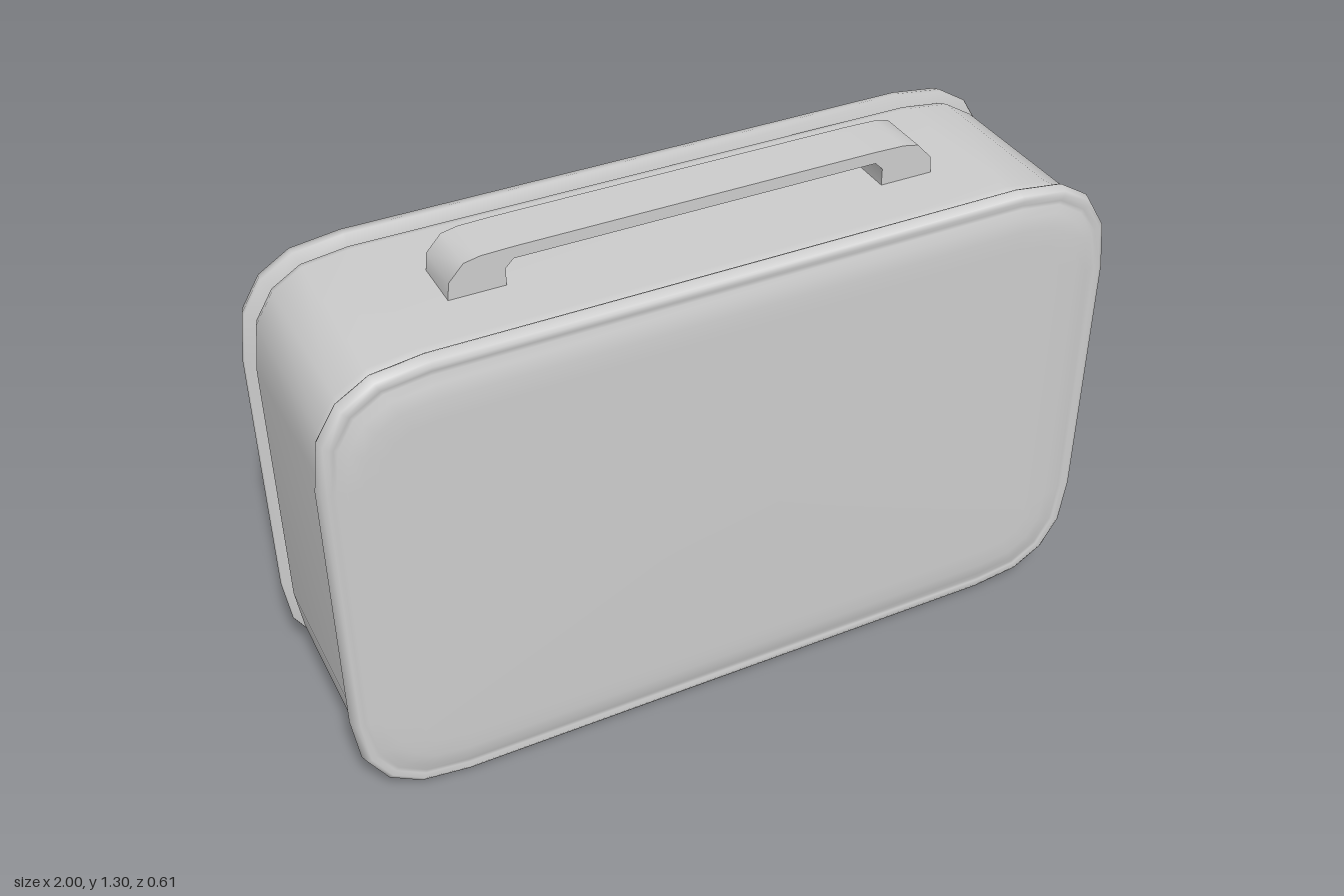
import * as THREE from 'three';
import { toCreasedNormals } from 'three/addons/utils/BufferGeometryUtils.js';

const HALF_W = 1, HALF_H = 0.6125, RADIUS = 0.27, STEPS = 4;
const material = new THREE.MeshStandardMaterial({ color: 0xcccccc });

// Soft-cornered rectangle, counter-clockwise, shrunk by inset
function outline(inset) {
  const r = RADIUS - inset;
  const points = [];
  for (let corner = 0; corner < 4; corner++) {
    const sx = corner === 0 || corner === 3 ? 1 : -1;
    const sy = corner < 2 ? 1 : -1;
    for (let i = 0; i <= STEPS; i++) {
      const a = ((corner + i / STEPS) * Math.PI) / 2;
      const bulge = (v) => Math.pow(Math.abs(v), 0.8) * r;
      points.push([
        sx * (HALF_W - RADIUS + bulge(Math.cos(a))),
        HALF_H + sy * (HALF_H - RADIUS + bulge(Math.sin(a))),
      ]);
    }
  }
  return points;
}

// Skin a list of [z, inset] sections, optionally closed at the +z end
function loft(sections, capped) {
  const positions = [], index = [];
  const n = 4 * (STEPS + 1);
  for (const [z, inset] of sections) {
    for (const [x, y] of outline(inset)) positions.push(x, y, z);
  }
  for (let k = 0; k < sections.length - 1; k++) {
    for (let j = 0; j < n; j++) {
      const a = k * n + j, b = k * n + ((j + 1) % n);
      index.push(a, b, b + n, a, b + n, a + n);
    }
  }
  if (capped) {
    const last = (sections.length - 1) * n, centre = sections.length * n;
    positions.push(0, HALF_H, sections[sections.length - 1][0]);
    for (let j = 0; j < n; j++) index.push(centre, last + j, last + ((j + 1) % n));
  }
  const geometry = new THREE.BufferGeometry();
  geometry.setAttribute('position', new THREE.Float32BufferAttribute(positions, 3));
  geometry.setIndex(index);
  geometry.computeVertexNormals();
  return geometry;
}

function part(name, geometry) {
  const mesh = new THREE.Mesh(geometry, material);
  mesh.name = name;
  return mesh;
}

export function createModel() {
  const group = new THREE.Group();
  group.name = 'suitcase';

  // Middle shell, tapering in where it meets the rims
  const half = [[0.215, 0.018], [0.24, 0.026], [0.26, 0.04]];
  const mirrored = half.map(([z, inset]) => [-z, inset]).reverse();
  group.add(part('shell', loft([...mirrored, ...half], false)));

  // Front and back covers: flared rim, shallow groove, raised panel
  const cover = loft([
    [0.25, 0.04], [0.258, 0.003], [0.265, 0], [0.288, 0.007], [0.294, 0.018],
    [0.29, 0.03], [0.29, 0.04], [0.298, 0.06], [0.304, 0.095], [0.305, 0.15],
  ], true);
  const front = part('frontCover', cover);
  const back = part('backCover', cover);
  back.rotation.y = Math.PI;
  group.add(front, back);

  // Carrying handle: half profile mirrored into a low arch
  const right = [
    [0.475, 1.2], [0.475, 1.25], [0.455, 1.27],
  ];
  const outer = [
    [0.45, 1.3], [0.53, 1.298], [0.57, 1.29], [0.607, 1.25], [0.612, 1.2],
  ];
  const flip = (list) => list.map(([x, y]) => [-x, y]).reverse();
  const profile = [...outer, ...right, ...flip(right), ...flip(outer)];
  const shape = new THREE.Shape(profile.map(([x, y]) => new THREE.Vector2(x, y)));
  const bar = new THREE.ExtrudeGeometry(shape, { depth: 0.136, bevelEnabled: false });
  bar.translate(0, 0, -0.058);
  group.add(part('handle', toCreasedNormals(bar, 0.9)));

  return group;
}
